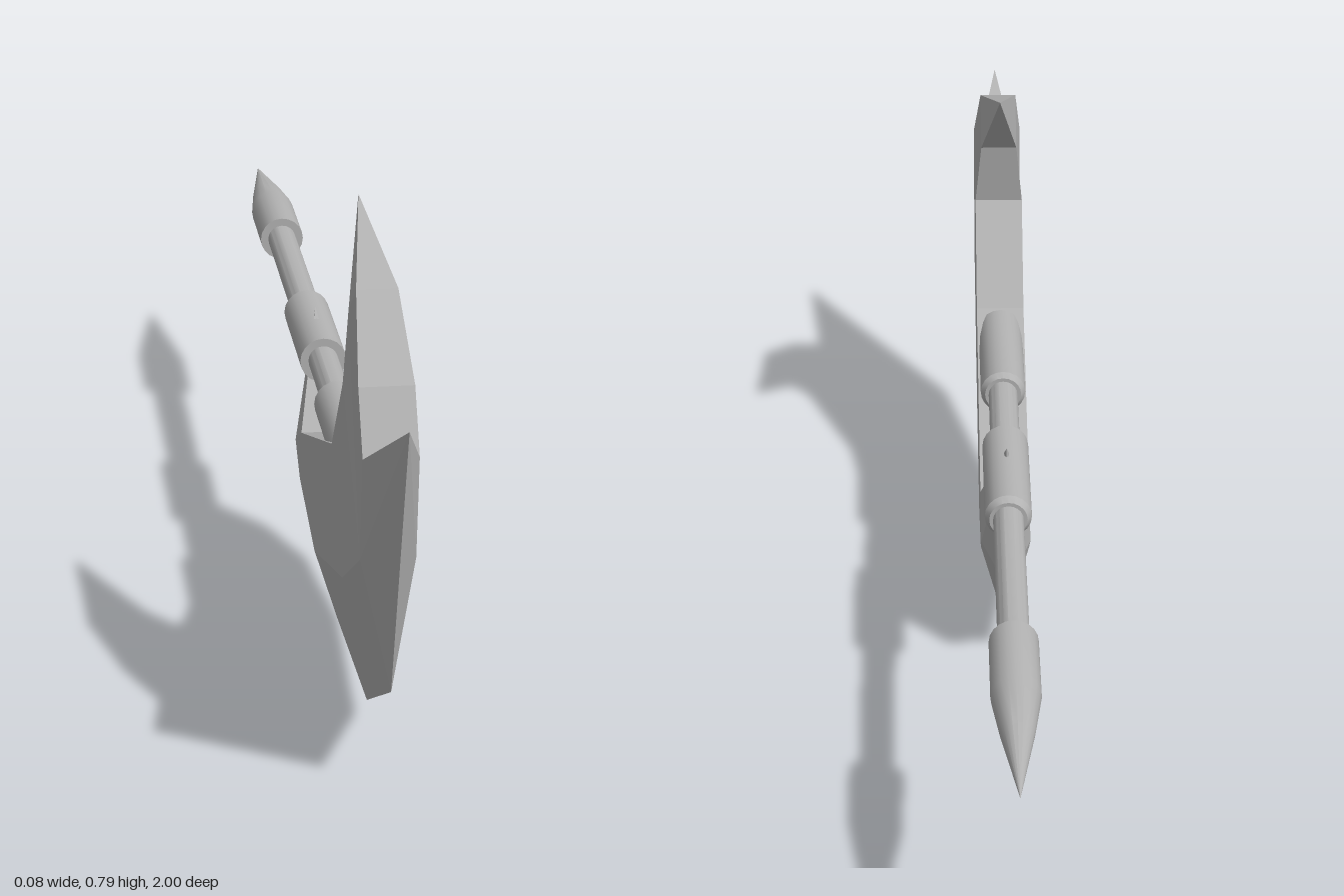
import * as THREE from 'three';
import { toCreasedNormals } from 'three/addons/utils/BufferGeometryUtils.js';

const AXIS_Y = 0.367;

// Crescent blade: flat cheeks, bevelled cutting edge and walls along the back
function bladeGeometry() {
  // points are [z, y, half thickness]
  const T = 0.04;
  const spike = [1, 0.625, 0];
  const hookTip = [0.46, 0.785, 0];
  const heelTip = [-0.08, 0.42, 0];
  const hookOuter = [[0.67, 0.712, 0.03], [0.775, 0.605, T]];
  const bevel = [[0.825, 0.517, T], [0.8, 0.355, T], [0.6, 0.24, T],
    [0.25, 0.132, T], [0.045, 0.172, T], [-0.015, 0.215, T]];
  const inner = [[0.07, 0.26, T], [0.47, 0.4, T], [0.6, 0.545, T], [0.585, 0.65, 0.03]];
  const edge = [spike, [0.84, 0.167, 0], [0.58, 0.03, 0],
    [0.215, 0, 0], [0.005, 0.045, 0], [-0.075, 0.165, 0]];

  const pos = [];
  const tri = (...pts) => {
    const [a, b, c] = pts.map(([z, y, x]) => new THREE.Vector3(x, y, z));
    const n = b.clone().sub(a).cross(c.clone().sub(a));
    if (n.length() > 1e-7) pos.push(...a, ...b, ...c);
  };
  const flip = ([z, y, x]) => [z, y, -x];
  // one face on the left side and its mirror image on the right
  const pair = (a, b, c) => {
    const area = (b[0] - a[0]) * (c[1] - a[1]) - (b[1] - a[1]) * (c[0] - a[0]);
    if (area > 0) [b, c] = [c, b];
    tri(a, b, c);
    tri(flip(a), flip(c), flip(b));
  };

  // cheeks
  const cheek = [hookTip, ...hookOuter, ...bevel, heelTip, ...inner];
  const flat = cheek.map(([z, y]) => new THREE.Vector2(z, y));
  for (const f of THREE.ShapeUtils.triangulateShape(flat, [])) pair(...f.map(i => cheek[i]));

  // cutting bevel
  for (let i = 0; i < edge.length - 1; i++) {
    pair(edge[i], edge[i + 1], bevel[i + 1]);
    pair(edge[i], bevel[i + 1], bevel[i]);
  }
  pair(edge[5], heelTip, bevel[5]);

  // walls joining both cheeks
  const wall = [spike, bevel[0], hookOuter[1], hookOuter[0], hookTip,
    ...inner.slice().reverse(), heelTip];
  for (let i = 0; i < wall.length - 1; i++) {
    const a = wall[i], b = wall[i + 1];
    tri(a, b, flip(b));
    tri(a, flip(b), flip(a));
  }

  const g = new THREE.BufferGeometry();
  g.setAttribute('position', new THREE.Float32BufferAttribute(pos, 3));
  g.computeVertexNormals();
  return g;
}

export function createModel() {
  const group = new THREE.Group();
  const steel = new THREE.MeshStandardMaterial({ color: 0xb2b2b2 });
  steel.name = 'grey steel';

  const add = (name, geometry) => {
    const mesh = new THREE.Mesh(geometry, steel);
    mesh.name = name;
    group.add(mesh);
  };
  // turned part along the handle; profile is [radius, z], from front to back
  const turned = (name, profile) => {
    const pts = profile.map(([r, z]) => new THREE.Vector2(r, -z));
    const g = new THREE.LatheGeometry(pts, 20).rotateX(-Math.PI / 2).translate(0, AXIS_Y, 0);
    add(name, toCreasedNormals(g, 0.5));
  };

  add('blade', bladeGeometry());

  // handle
  turned('shaft', [[0.024, 0.3], [0.024, -0.65]]);
  turned('frontSleeve', [[0, 0.455], [0.037, 0.455], [0.037, 0.22], [0.03, 0.21], [0, 0.21]]);
  turned('gripSleeve', [[0, 0.03], [0.037, 0.03], [0.037, -0.205], [0.03, -0.217], [0, -0.217]]);
  turned('rearSpike', [[0, -0.585], [0.037, -0.585], [0.037, -0.74], [0.026, -0.83], [0, -1]]);

  return group;
}
